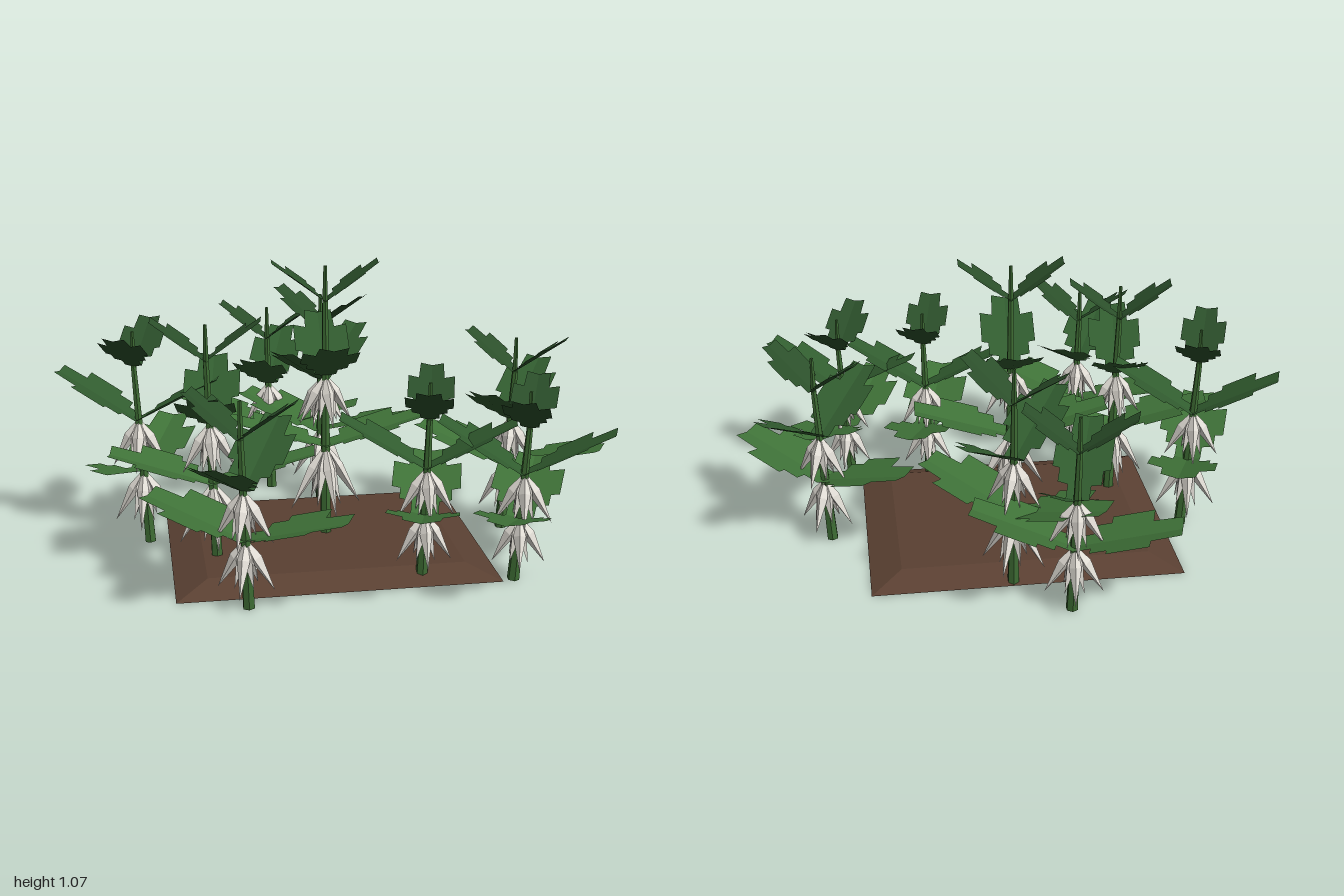
import * as THREE from 'three';

const mat = (color) => new THREE.MeshStandardMaterial({ color, flatShading: true, side: THREE.DoubleSide });
const stemMat = mat(0x3d6b33), flowerMat = mat(0xe4e0d8), soilMat = mat(0x5a4032);

// Leaf tiers from the ground up: node height (share of top node), reach, rise, half width
const TIERS = [
  { at: 0.41, reach: 0.36, rise: 0.11, half: 0.122, turn: 0, mat: mat(0x3f7238) },
  { at: 0.70, reach: 0.30, rise: 0.17, half: 0.10, turn: Math.PI / 2, mat: mat(0x315c2f) },
  { at: 1.00, reach: 0.19, rise: 0.14, half: 0.08, turn: 0, mat: mat(0x2b4f2a) },
];

// Top-node position x, z, node height, and heading in degrees (from +x towards +z)
const PLANTS = [
  [-0.17, -0.60, 0.63, 18],
  [0.02, -0.40, 0.72, 38],
  [-0.715, -0.06, 0.68, 111],
  [-0.47, 0.21, 0.76, 8],
  [-0.03, 0.05, 0.92, 3],
  [0.695, 0.01, 0.62, 37],
  [0.265, 0.455, 0.59, 105],
  [0.60, 0.51, 0.56, 115],
  [-0.39, 0.60, 0.60, 30],
];

// Stepped leaf folded up along its midrib, growing along +x
function leafGeometry({ reach, rise, half }) {
  const outline = [[0, 0.4], [0.16, 0.4], [0.16, 0.75], [0.32, 0.75], [0.32, 1], [0.72, 1], [0.72, 0.55], [1, 0.5]];
  const pos = [], idx = [];
  outline.forEach(([s, w]) => {
    for (const side of [-1, 0, 1]) {
      pos.push(s * reach, s * rise + Math.abs(side) * w * half * 0.2, side * w * half);
    }
  });
  for (let i = 0; i < outline.length - 1; i++) {
    if (outline[i][0] === outline[i + 1][0]) continue; // step in the outline
    for (let k = 0; k < 2; k++) {
      const a = i * 3 + k, b = a + 3;
      idx.push(a, a + 1, b, a + 1, b + 1, b);
    }
  }
  const g = new THREE.BufferGeometry();
  g.setAttribute('position', new THREE.Float32BufferAttribute(pos, 3));
  g.setIndex(idx);
  g.computeVertexNormals();
  return g;
}

// Slender four-sided petal pointing down from the node
const petalGeometry = new THREE.LatheGeometry(
  [[0, -1], [0.022, -0.35], [0.006, 0]].map(([x, y]) => new THREE.Vector2(x, y)), 4);
const leafGeometries = TIERS.map(leafGeometry);

function add(parent, name, geometry, material) {
  const m = new THREE.Mesh(geometry, material);
  m.name = name;
  parent.add(m);
  return m;
}

// Ring of drooping petals
function makeFlower(length) {
  const flower = new THREE.Group();
  flower.name = 'flower';
  for (let i = 0; i < 8; i++) {
    const petal = add(flower, 'petal', petalGeometry, flowerMat);
    petal.rotation.set(0, (i / 8) * Math.PI * 2 + 0.2, i % 2 ? 0.28 : 0.52);
    petal.scale.set(1, length * (i % 2 ? 0.85 : 1), 1);
  }
  return flower;
}

function makePlant([x, z, top, degrees]) {
  const plant = new THREE.Group();
  plant.name = 'plant';
  // The stem leans slightly outwards
  const base = new THREE.Vector3(x * 0.95, 0, z * 0.96);
  const tip = new THREE.Vector3(x, top, z);
  const dir = tip.clone().sub(base);
  const stem = add(plant, 'stem', new THREE.CylinderGeometry(0.011, 0.022, dir.length(), 6), stemMat);
  stem.position.copy(base).add(tip).multiplyScalar(0.5);
  stem.quaternion.setFromUnitVectors(new THREE.Vector3(0, 1, 0), dir.clone().normalize());
  const sprout = add(plant, 'sprout', new THREE.CylinderGeometry(0.006, 0.01, 0.13, 4), stemMat);
  sprout.position.set(x, top + 0.065, z);

  TIERS.forEach((tier, i) => {
    const node = base.clone().lerp(tip, tier.at);
    // Opposite pair of leaves, each tier crossing the one below
    for (const flip of [0, Math.PI]) {
      const leaf = add(plant, 'leaf', leafGeometries[i], tier.mat);
      leaf.position.copy(node);
      leaf.rotation.y = -THREE.MathUtils.degToRad(degrees) + tier.turn + flip;
    }
    if (i < 2) {
      const flower = makeFlower(Math.min(i ? 0.2 : 0.27, node.y * 0.8));
      flower.position.copy(node);
      flower.rotation.y = -THREE.MathUtils.degToRad(degrees);
      plant.add(flower);
    }
  });
  return plant;
}

// Low bed of earth with sloping sides
function makeSoil() {
  const g = new THREE.BoxGeometry(1.14, 0.04, 0.92).toNonIndexed();
  const p = g.attributes.position;
  for (let i = 0; i < p.count; i++) {
    if (p.getY(i) > 0) p.setXYZ(i, p.getX(i) * 0.8, p.getY(i), p.getZ(i) * 0.78);
  }
  g.computeVertexNormals();
  const soil = new THREE.Mesh(g, soilMat);
  soil.name = 'soilBed';
  soil.position.set(-0.04, 0.02, 0.05);
  return soil;
}

export function createModel() {
  const model = new THREE.Group();
  model.name = 'plantBed';
  model.add(makeSoil(), ...PLANTS.map(makePlant));
  return model;
}
